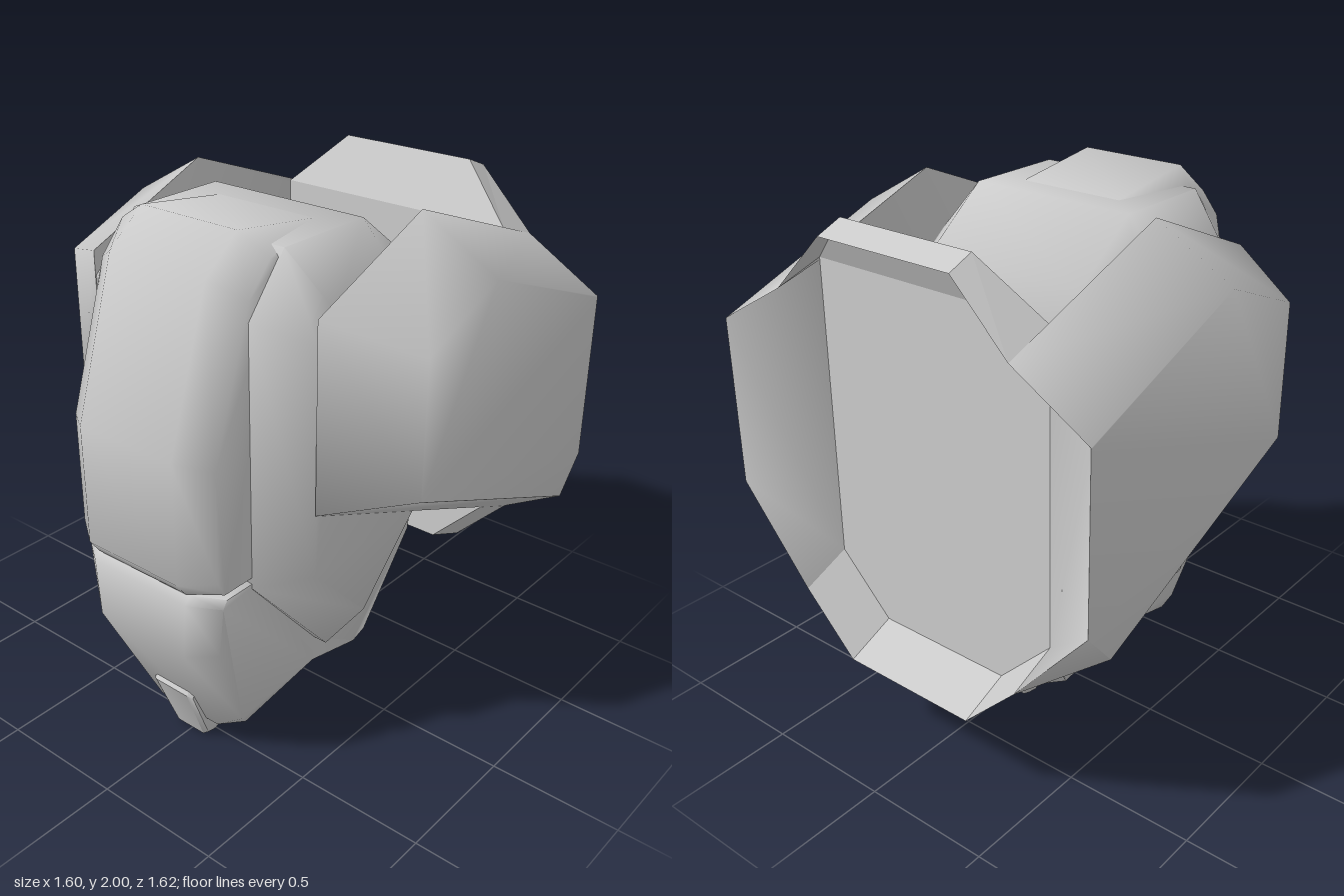
import * as THREE from 'three';
import { toCreasedNormals } from 'three/addons/utils/BufferGeometryUtils.js';

const material = new THREE.MeshStandardMaterial({ color: 0xcccccc });
const thinMaterial = new THREE.MeshStandardMaterial({ color: 0xcccccc, side: THREE.DoubleSide });

// Solid through side profiles ([z, y] points) placed at rising x, with capped ends.
function loft(sections, crease = 1.1, widthAt = () => 1) {
  const flip = THREE.ShapeUtils.isClockWise(sections[0][1].map(p => new THREE.Vector2(...p)));
  const rings = sections.map(([x, pts]) => {
    const ring = pts.map(([z, y]) => [x * widthAt(y), y, z]);
    return flip ? ring.reverse() : ring;
  });
  const out = [];
  const tri = (a, b, c) => out.push(...a, ...b, ...c);
  const cap = (ring, reverse) => {
    const flat = ring.map(p => new THREE.Vector2(p[2], p[1]));
    for (const [a, b, c] of THREE.ShapeUtils.triangulateShape(flat, [])) {
      if (reverse) tri(ring[a], ring[c], ring[b]);
      else tri(ring[a], ring[b], ring[c]);
    }
  };
  cap(rings[0], false);
  cap(rings[rings.length - 1], true);
  for (let s = 0; s < rings.length - 1; s++) {
    const n = rings[s].length;
    for (let i = 0; i < n; i++) {
      const j = (i + 1) % n;
      const a = rings[s][i], b = rings[s][j], c = rings[s + 1][j], d = rings[s + 1][i];
      tri(a, d, b);
      tri(b, d, c);
    }
  }
  const geo = new THREE.BufferGeometry();
  geo.setAttribute('position', new THREE.Float32BufferAttribute(out, 3));
  return toCreasedNormals(geo, crease);
}

// Symmetric solid: full profile in the middle, inset profile on both flanks.
const chamfered = (inner, full, outer, inset, crease, widthAt) =>
  loft([[-outer, inset], [-inner, full], [inner, full], [outer, inset]], crease, widthAt);

// Reflects a non-indexed geometry in x and restores its winding.
function mirrorX(geo) {
  const g = geo.clone();
  for (const name of ['position', 'normal']) {
    const a = g.attributes[name];
    for (let i = 0; i < a.count; i += 3) {
      const v = [0, 2, 1].map(k => [-a.getX(i + k), a.getY(i + k), a.getZ(i + k)]);
      v.forEach((p, k) => a.setXYZ(i + k, ...p));
    }
  }
  return g;
}

// Reflects a profile about the hinge line between the two claws.
const toBack = pts => pts.map(([z, y]) => [0.32 - z, y]);

// Claw width narrows toward the tip.
function clawWidth(y) {
  if (y > 0.77) return 1;
  if (y > 0.22) return THREE.MathUtils.mapLinear(y, 0.22, 0.77, 0.82, 1);
  return THREE.MathUtils.mapLinear(y, 0.07, 0.22, 0.62, 0.82);
}

export function createModel() {
  const model = new THREE.Group();
  const add = (name, geo, mat = material) => {
    const mesh = new THREE.Mesh(geo, mat);
    mesh.name = name;
    model.add(mesh);
  };

  // Central body with a wedge-shaped underside
  add('body', chamfered(0.33,
    [[0.565, 0.78], [0.565, 1.75], [0.4, 1.95], [0, 1.95], [-0.26, 1.75], [-0.26, 0.79], [0.16, 0.33]], 0.5,
    [[0.44, 0.84], [0.44, 1.68], [0.35, 1.76], [0, 1.76], [-0.13, 1.66], [-0.13, 0.85], [0.16, 0.56]]));

  // Upper front finger, wrapping over the top of the body
  add('upperFrontFinger', chamfered(0.21,
    [[0.48, 2], [0.63, 1.88], [0.81, 1.32], [0.81, 0.87], [0.77, 0.815], [0.5, 0.815], [0.45, 1.7], [0.11, 1.95]], 0.325,
    [[0.46, 1.93], [0.56, 1.82], [0.73, 1.3], [0.73, 0.88], [0.7, 0.825], [0.5, 0.825], [0.45, 1.7], [0.4, 1.92]]));

  // Upper back segment behind the body
  add('upperBackFinger', chamfered(0.21,
    toBack([[0.5, 1.45], [0.7, 1.45], [0.81, 1.3], [0.81, 0.87], [0.77, 0.815], [0.5, 0.815]]), 0.325,
    toBack([[0.5, 1.42], [0.65, 1.42], [0.73, 1.28], [0.73, 0.88], [0.7, 0.825], [0.5, 0.825]])));

  // Opposed lower claws and their small tips
  const clawFull = [[0.76, 0.81], [0.785, 0.78], [0.785, 0.56], [0.57, 0.1], [0.51, 0.065],
    [0.16, 0.2], [0.16, 0.33], [0.5, 0.81]];
  const clawInset = [[0.69, 0.8], [0.71, 0.77], [0.71, 0.57], [0.53, 0.15], [0.49, 0.1],
    [0.16, 0.22], [0.16, 0.33], [0.5, 0.8]];
  const tipFull = [[0.64, 0.275], [0.657, 0.25], [0.565, 0.01], [0.52, 0], [0.335, 0.085], [0.335, 0.15], [0.5, 0.2]];
  const tipInset = [[0.63, 0.27], [0.645, 0.24], [0.555, 0.02], [0.515, 0.012], [0.335, 0.095], [0.335, 0.15], [0.5, 0.2]];
  const tipWidth = y => 0.8 + 0.2 * Math.min(1, y / 0.27);
  for (const [side, place] of [['front', p => p], ['back', toBack]]) {
    add(side + 'Claw', chamfered(0.22, place(clawFull), 0.325, place(clawInset), 1.1, clawWidth));
    add(side + 'ClawTip', chamfered(0.08, place(tipFull), 0.1, place(tipInset), 0.9, tipWidth));
  }

  // Side shells with bevelled outer faces and a flared rear edge
  const shell = loft([
    [0.5, [[0.445, 1.08], [0.445, 1.77], [-0.09, 1.99], [-0.81, 1.73], [-0.62, 1.78], [-0.62, 0.64], [-0.81, 0.56]]],
    [0.8, [[0.28, 1.17], [0.28, 1.67], [-0.09, 1.82], [-0.81, 1.555], [-0.81, 1.55], [-0.81, 0.91], [-0.69, 0.77]]],
  ]);
  add('leftShell', shell);
  add('rightShell', mirrorX(shell));

  // Recessed back plate with top and bottom lips: [half width, y, z] rows
  const rows = [[0.28, 1.95, -0.81], [0.28, 1.99, -0.71], [0.5, 1.79, -0.62],
    [0.5, 0.64, -0.62], [0.28, 0.42, -0.62], [0.28, 0.34, -0.81]];
  const plate = [];
  const quad = (a, b, c, d) => plate.push(...a, ...b, ...c, ...a, ...c, ...d);
  const at = ([w, y, z], s) => [s * w, y, z];
  for (let i = 0; i < rows.length - 1; i++) {
    quad(at(rows[i], -1), at(rows[i + 1], -1), at(rows[i + 1], 1), at(rows[i], 1));
  }
  // Slanted lip corners
  const top = [rows[0], rows[1], rows[2], [0.5, 1.73, -0.81]];
  const bottom = [rows[3], rows[4], rows[5], [0.5, 0.56, -0.81]];
  for (const corner of [top, bottom]) {
    quad(...corner.map(p => at(p, -1)).reverse());
    quad(...corner.map(p => at(p, 1)));
  }
  const plateGeo = new THREE.BufferGeometry();
  plateGeo.setAttribute('position', new THREE.Float32BufferAttribute(plate, 3));
  plateGeo.computeVertexNormals();
  add('backPlate', plateGeo, thinMaterial);

  return model;
}
